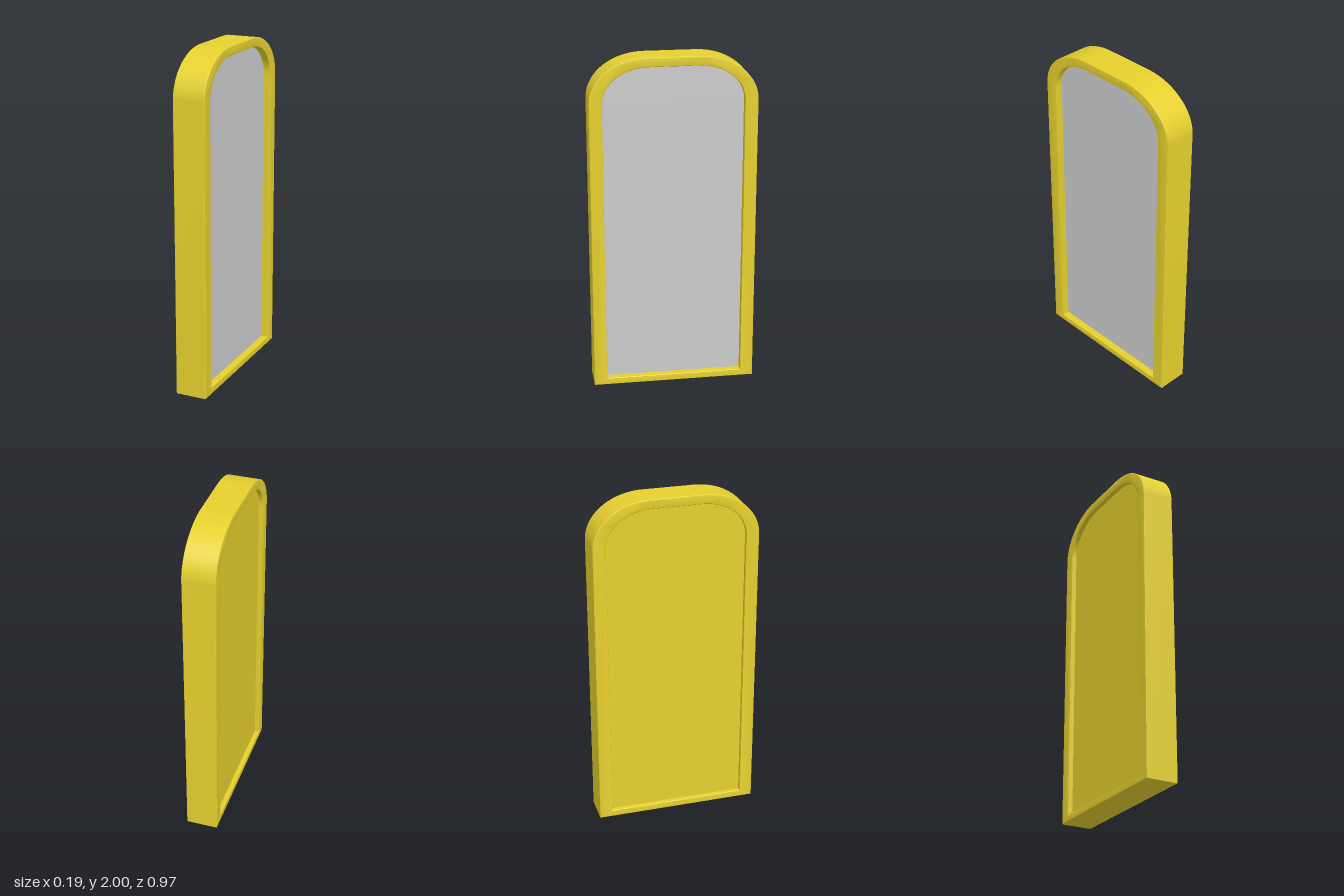
import * as THREE from 'three';
import { toCreasedNormals } from 'three/addons/utils/BufferGeometryUtils.js';

const HALF_DEPTH = 0.096;
const BEVEL_DEPTH = 0.004;
const BEVEL_WIDTH = 0.008;

// Upright panel outline with elliptical upper corners
function archOutline(Type, halfWidth, bottom, top, rx, ry) {
  const path = new Type();
  path.moveTo(-halfWidth, bottom);
  path.lineTo(halfWidth, bottom);
  path.lineTo(halfWidth, top - ry);
  path.absellipse(halfWidth - rx, top - ry, rx, ry, 0, Math.PI / 2, false, 0);
  path.lineTo(-halfWidth + rx, top);
  path.absellipse(-halfWidth + rx, top - ry, rx, ry, Math.PI / 2, Math.PI, false, 0);
  path.closePath();
  return path;
}

const opening = (Type) => archOutline(Type, 0.409, 0.04, 1.946, 0.265, 0.21);

// Frame outline with the arched opening cut through, extruded across x
function frameGeometry() {
  const shape = archOutline(THREE.Shape, 0.485, 0, 2, 0.335, 0.26);
  shape.holes.push(opening(THREE.Path));
  const depth = 2 * (HALF_DEPTH - BEVEL_DEPTH);
  const geometry = new THREE.ExtrudeGeometry(shape, {
    depth,
    curveSegments: 24,
    bevelSize: BEVEL_WIDTH,
    bevelThickness: BEVEL_DEPTH,
    bevelOffset: -BEVEL_WIDTH,
    bevelSegments: 2,
  });
  geometry.translate(0, 0, -depth / 2);
  geometry.rotateY(Math.PI / 2);
  return toCreasedNormals(geometry, 0.6);
}

// Flat sheet filling the opening at x, facing +x (side 1) or -x (side -1)
function sheetGeometry(x, side) {
  const geometry = new THREE.ShapeGeometry(opening(THREE.Shape), 24);
  geometry.rotateY((side * Math.PI) / 2);
  geometry.translate(x, 0, 0);
  return geometry;
}

export function createModel() {
  const group = new THREE.Group();
  group.name = 'mirror';
  const gold = new THREE.MeshStandardMaterial({ color: 0xe6d02e });
  const grey = new THREE.MeshStandardMaterial({ color: 0xcccccc });

  const add = (name, geometry, material) => {
    const mesh = new THREE.Mesh(geometry, material);
    mesh.name = name;
    group.add(mesh);
  };

  add('frame', frameGeometry(), gold);

  // Glass and backing board, each set back from its side of the frame
  add('mirrorGlass', sheetGeometry(0.052, 1), grey);
  add('backPanel', sheetGeometry(-0.068, -1), gold);

  return group;
}
